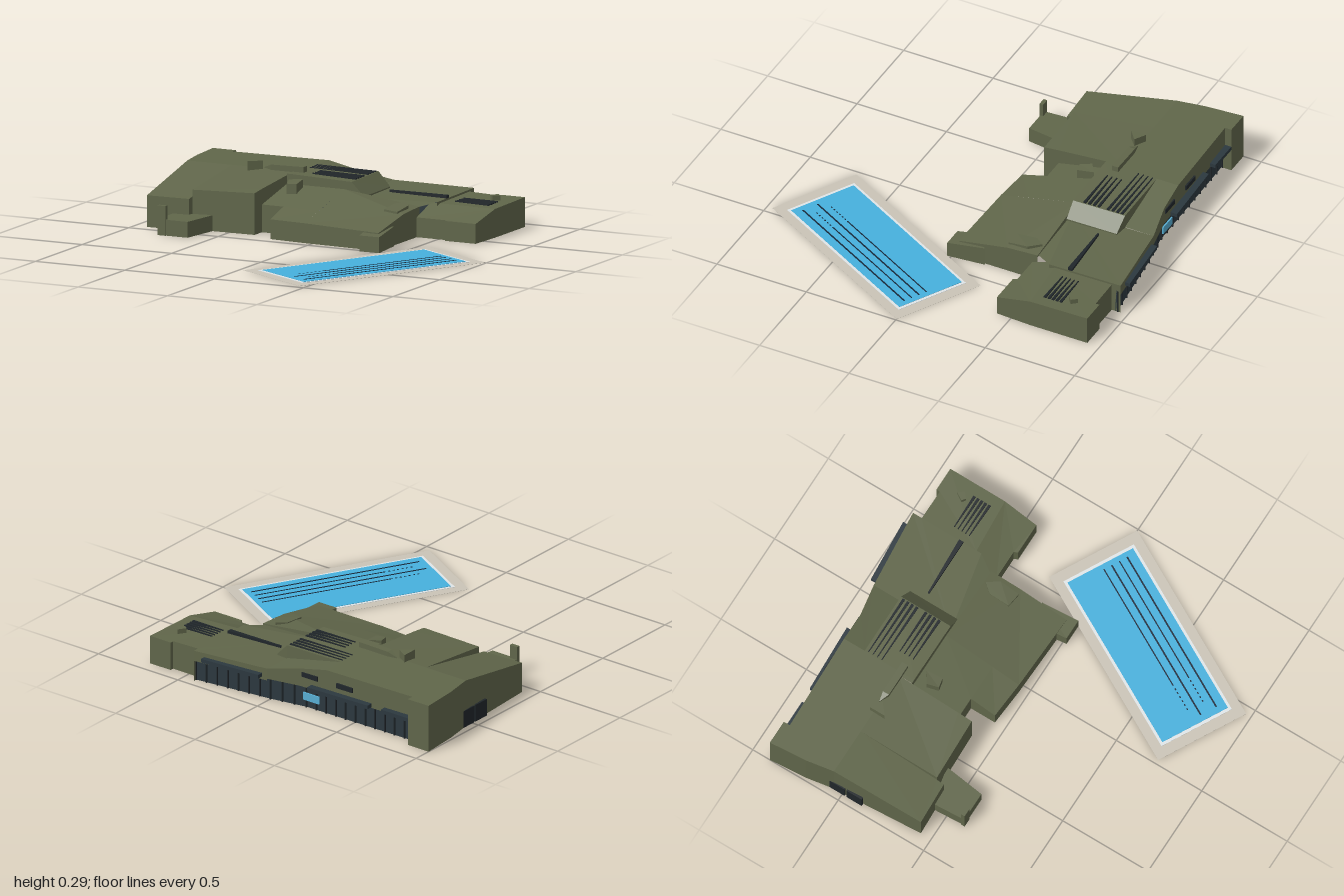
import * as THREE from 'three';

const mat = (name, color, side = THREE.FrontSide) =>
  Object.assign(new THREE.MeshStandardMaterial({ color, side }), { name });

export function createModel() {
  const group = new THREE.Group();
  const olive = mat('olive wall', 0x60664a, THREE.DoubleSide);
  const dark = mat('dark louver', 0x20262a, THREE.DoubleSide);
  const glass = mat('dark glass', 0x2c383f, THREE.DoubleSide);
  const blueGlass = mat('blue glass', 0x58aed2);
  const water = mat('pool water', 0x46b0dd);
  const stone = mat('pool deck', 0xcac4b7);
  const rim = mat('pool rim', 0xe6ecee);
  const lane = mat('pool lane', 0x16283a);

  // Hollow shell: a roof and its walls, open below. Corners run clockwise seen
  // from above as [x, z, top, base of the wall to the next corner]; null = no wall.
  function shell(name, corners, base = 0, material = olive) {
    const c = [...corners].reverse();
    const top = c.map(([x, z, y]) => [x, y, z]);
    const pos = [];
    const outline = c.map(([x, z]) => new THREE.Vector2(x, -z));
    for (const [i, j, k] of THREE.ShapeUtils.triangulateShape(outline, [])) {
      pos.push(...top[i], ...top[j], ...top[k]);
    }
    c.forEach(([x, z], i) => {
      const j = (i + 1) % c.length;
      const foot = c[j][3] === undefined ? base : c[j][3];
      if (foot === null) return;
      const a = [x, foot, z], b = [c[j][0], foot, c[j][1]];
      pos.push(...a, ...b, ...top[j], ...a, ...top[j], ...top[i]);
    });
    const g = new THREE.BufferGeometry();
    g.setAttribute('position', new THREE.Float32BufferAttribute(pos, 3));
    g.computeVertexNormals();
    const m = new THREE.Mesh(g, material);
    m.name = name;
    group.add(m);
  }

  // Box given by its x, y and z ranges
  function box(name, [x0, x1], [y0, y1], [z0, z1], material = olive, parent = group) {
    const m = new THREE.Mesh(new THREE.BoxGeometry(x1 - x0, y1 - y0, z1 - z0), material);
    m.position.set((x0 + x1) / 2, (y0 + y1) / 2, (z0 + z1) / 2);
    m.name = name;
    parent.add(m);
  }

  // Left wing: solid rear corner, flat roof, then a steep slope to the front
  shell('wingCorner', [[-1, -0.9, 0.25], [-0.87, -0.9, 0.25], [-0.87, -0.84, 0.25, null], [-0.87, -0.55, 0.25, null], [-0.96, -0.55, 0.25], [-0.985, -0.7, 0.25]]);
  shell('wingSlope', [[-0.96, -0.55, 0.25, null], [-0.7, -0.55, 0.25, null], [-0.7, -0.11, 0.167], [-0.7, -0.07, 0.16], [-0.93, -0.06, 0.16]]);
  shell('innerWing', [[-0.71, -0.55, 0.25, null], [-0.36, -0.55, 0.25, 0.135], [-0.36, -0.2, 0.219], [-0.36, -0.12, 0.21], [-0.7, -0.11, 0.2, 0.15]]);

  // Rear roof, overhanging the recessed glass storey
  shell('rearRoof', [[-0.87, -0.865, 0.25, 0.12], [-0.34, -0.88, 0.25, null], [-0.34, -0.47, 0.25, 0.19], [-0.36, -0.47, 0.25, null], [-0.36, -0.55, 0.25, null], [-0.87, -0.55, 0.25, null]]);
  shell('rearRoofRamp', [[-0.34, -0.88, 0.25, 0.12], [-0.18, -0.885, 0.215, 0.12], [0, -0.92, 0.175, null], [0, -0.76, 0.175, null], [-0.34, -0.76, 0.25, null]]);
  shell('rightRoof', [[0, -0.92, 0.175, 0.11], [0.43, -0.96, 0.165], [0.43, -0.91, 0.165, 0.14], [0.43, -0.56, 0.16, null], [0.37, -0.47, 0.145, null], [0, -0.47, 0.165, null]]);

  // Raised roof block with a sloping right flank
  shell('raisedRoof', [[-0.34, -0.76, 0.25, 0.17], [0, -0.76, 0.245, null], [0, -0.47, 0.24, 0.19], [-0.34, -0.47, 0.25, null]]);
  shell('raisedRoofFlank', [[0, -0.76, 0.245, 0.165], [0.07, -0.75, 0.175, 0.16], [0.07, -0.47, 0.172, 0.14], [0, -0.47, 0.24, null]]);

  // Centre front block, stepped on its left and falling to the front
  shell('centreBack', [[-0.36, -0.47, 0.2, null], [-0.04, -0.47, 0.2, null], [-0.04, -0.2, 0.137, null], [-0.24, -0.2, 0.14], [-0.36, -0.2, 0.14, null]]);
  shell('centreFront', [[-0.24, -0.2, 0.14, null], [-0.04, -0.2, 0.137, null], [-0.04, -0.045, 0.1], [-0.24, -0.06, 0.1]]);
  shell('centreRight', [[-0.04, -0.47, 0.2, null], [0.38, -0.3, 0.14], [0.38, -0.03, 0.09], [-0.04, -0.045, 0.1, null]]);
  shell('centreRightBack', [[-0.04, -0.47, 0.2, 0.14], [0.38, -0.47, 0.15], [0.38, -0.3, 0.14, null]]);
  shell('frontStub', [[0.29, -0.06, 0.09, null], [0.39, -0.18, 0.1], [0.41, 0.02, 0.08], [0.3, 0.02, 0.08]]);

  // Low annex with a tall fin in front of the left wing
  shell('frontAnnex', [[-0.79, -0.08, 0.08, null], [-0.59, -0.12, 0.08], [-0.62, 0.1, 0.08], [-0.78, 0.1, 0.08]]);
  box('annexFin', [-0.785, -0.74], [0, 0.15], [0.085, 0.105]);

  // Right annex
  shell('rightAnnex', [[0.43, -0.91, 0.155], [0.6, -0.91, 0.15], [0.6, -0.93, 0.15], [0.73, -0.93, 0.15], [0.73, -0.61, 0.145, null], [0.43, -0.59, 0.15, null]]);
  shell('rightAnnexSlope', [[0.38, -0.59, 0.15, null], [0.73, -0.61, 0.145], [0.72, -0.42, 0.1], [0.55, -0.42, 0.1], [0.54, -0.44, 0.1], [0.38, -0.44, 0.1, null]]);

  // Roof louvers, tapering to the left
  const louver = (name, x0, x1, z, y0, y1) =>
    shell(name, [[x0, z - 0.002, y0], [x1, z - 0.007, y1], [x1, z + 0.007, y1], [x0, z + 0.002, y0]], y1 - 0.01, dark);
  for (let i = 0; i < 9; i++) {
    if (i !== 4) louver('roofLouver', i < 4 ? -0.335 : -0.25, -0.005, -0.74 + i * 0.026, 0.254, 0.249);
  }
  for (let i = 0; i < 5; i++) louver('annexLouver', 0.48, 0.67, -0.75 + i * 0.022, 0.156, 0.154);
  shell('roofSlot', [[0.11, -0.672, 0.178], [0.43, -0.69, 0.176], [0.43, -0.665, 0.176], [0.11, -0.664, 0.178]], 0.15, dark);

  // Chimneys and roof boxes
  shell('chimney', [[-0.59, -0.57, 0.29], [-0.53, -0.535, 0.29], [-0.59, -0.485, 0.29]], 0.23);
  shell('roofBar', [[-0.53, -0.555, 0.255], [-0.48, -0.565, 0.275], [-0.3, -0.565, 0.278], [-0.3, -0.53, 0.278], [-0.48, -0.53, 0.275]], 0.23);
  shell('dormer', [[-0.32, -0.41, 0.235], [-0.26, -0.45, 0.235], [-0.25, -0.36, 0.225], [-0.3, -0.35, 0.225]], 0.15);
  shell('frontDormer', [[0.27, -0.41, 0.165], [0.31, -0.46, 0.17], [0.355, -0.4, 0.165], [0.35, -0.29, 0.15], [0.27, -0.3, 0.155]], 0.13);
  shell('annexChimney', [[0.61, -0.79, 0.175], [0.635, -0.83, 0.175], [0.66, -0.8, 0.175], [0.63, -0.775, 0.175]], 0.14);

  // Glazed rear facade, following the bends of the rear wall, with posts
  const facade = [[-0.87, -0.845], [-0.2, -0.855], [0, -0.89], [0.43, -0.94]];
  for (let i = 0; i < 3; i++) {
    const [x0, z0] = facade[i], [x1, z1] = facade[i + 1];
    shell('rearGlass', [[x0, z0, 0.13], [x1, z1, 0.13], [x1, z1 + 0.008, 0.13], [x0, z0 + 0.008, 0.13]], 0, glass);
    const posts = Math.round((x1 - x0) / 0.06);
    for (let k = 0; k <= posts; k++) {
      const x = x0 + (x1 - x0) * k / posts, z = z0 + (z1 - z0) * k / posts;
      box('rearPost', [x - 0.003, x + 0.003], [0, 0.125], [z - 0.008, z], dark);
    }
  }

  // Thin dark canopies above the glass
  const canopies = [[-0.87, -0.9, -0.7, -0.9], [-0.62, -0.905, -0.25, -0.92], [0.03, -0.955, 0.37, -0.98]];
  for (const [x0, z0, x1, z1] of canopies) {
    shell('canopy', [[x0, z0, 0.145], [x1, z1, 0.145], [x1, z1 + 0.06, 0.145], [x0, z0 + 0.06, 0.145]], 0.125, glass);
  }
  box('bluePane', [-0.29, -0.19], [0.045, 0.085], [-0.875, -0.867], blueGlass);
  for (const x of [-0.46, -0.24]) box('fasciaWindow', [x - 0.05, x + 0.05], [0.175, 0.2], [-0.889, -0.88], dark);

  // Side windows of the left wing
  for (const z of [-0.53, -0.43]) box('sideWindow', [-0.964, -0.95], [0, 0.09], [z - 0.045, z + 0.045], dark);

  // Swimming pool, turned away from the house
  const pool = new THREE.Group();
  pool.name = 'pool';
  pool.position.set(0.507, 0, 0.365);
  pool.rotation.y = -0.5;
  group.add(pool);
  box('poolDeck', [-0.25, 0.25], [0, 0.001], [-0.553, 0.553], stone, pool);
  box('poolRim', [-0.2, 0.2], [0.0005, 0.003], [-0.498, 0.498], rim, pool);
  box('poolWater', [-0.186, 0.186], [0.001, 0.005], [-0.482, 0.482], water, pool);
  [0.006, 0.05, 0.094, 0.138].forEach((x, i) => {
    const dashed = i % 2 === 0, w = dashed ? 0.003 : 0.004;
    box('poolLane', [x - w, x + w], [0.002, 0.0065], [-0.455, dashed ? 0.25 : 0.45], lane, pool);
    for (let k = 0; dashed && k < 6; k++) {
      const z = 0.265 + k * 0.024;
      box('laneDash', [x - w, x + w], [0.002, 0.0065], [z, z + 0.01], lane, pool);
    }
  });

  return group;
}
